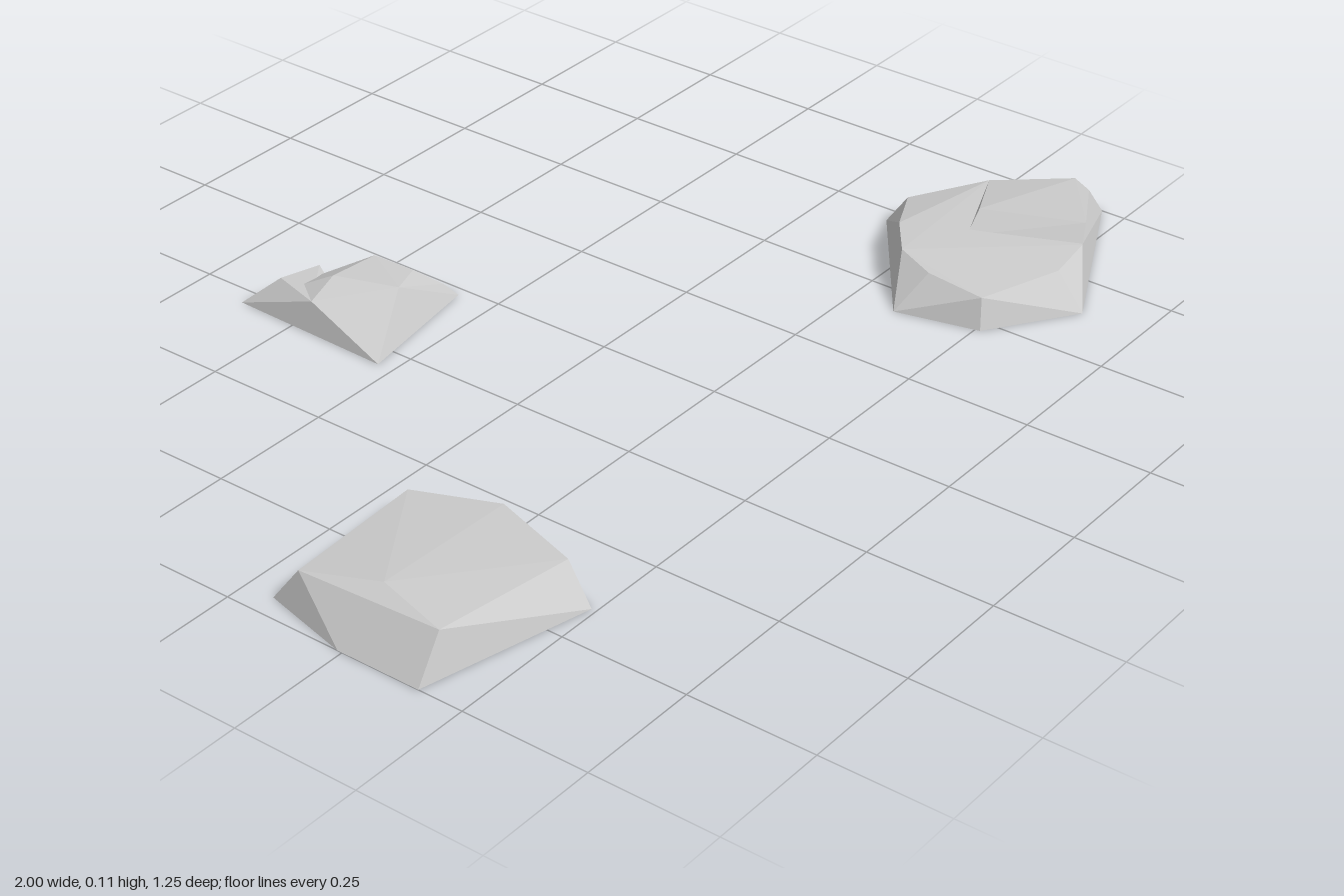
import * as THREE from 'three';
import { ConvexGeometry } from 'three/addons/geometries/ConvexGeometry.js';

const stone = new THREE.MeshStandardMaterial({ color: 0xcccccc, flatShading: true });

// A faceted stone: the convex shell around a ground outline [x, z] and upper corners [x, y, z].
function stonePart(name, outline, corners) {
  const points = [
    ...outline.map(([x, z]) => new THREE.Vector3(x, 0, z)),
    ...corners.map((corner) => new THREE.Vector3(...corner)),
  ];
  const mesh = new THREE.Mesh(new ConvexGeometry(points), stone);
  mesh.name = name;
  return mesh;
}

export function createModel() {
  const group = new THREE.Group();
  group.name = 'rocks';

  // Wide slab, sloping down to the left from a ridge on its right
  group.add(stonePart('slabRock',
    [[-0.955, 0.06], [-0.63, 0.05], [-0.575, 0.25], [-0.66, 0.49], [-1, 0.41], [-1, 0.24]],
    [[-0.945, 0.07, 0.11], [-0.645, 0.06, 0.085], [-0.585, 0.065, 0.245],
      [-0.645, 0.065, 0.43], [-0.94, 0.08, 0.405], [-0.905, 0.09, 0.26]]));

  // Low shelf with a raised plateau on its left half
  const steppedRock = new THREE.Group();
  steppedRock.name = 'steppedRock';
  steppedRock.add(
    stonePart('shelf',
      [[0.43, 0.345], [0.71, 0.14], [1, 0.45], [0.64, 0.625], [0.47, 0.51]],
      [[0.49, 0.068, 0.38], [0.52, 0.077, 0.3], [0.6, 0.078, 0.24], [0.72, 0.06, 0.18],
        [0.835, 0.085, 0.29], [0.96, 0.06, 0.44], [0.745, 0.075, 0.555],
        [0.645, 0.068, 0.565], [0.485, 0.06, 0.5]]),
    stonePart('plateau', [],
      [[0.65, 0.07, 0.36], [0.835, 0.085, 0.29], [0.96, 0.06, 0.44], [0.745, 0.07, 0.555],
        [0.69, 0.11, 0.36], [0.77, 0.108, 0.545], [0.92, 0.1, 0.43]]),
  );
  group.add(steppedRock);

  // Small rock with a low spur at the back right
  const smallRock = new THREE.Group();
  smallRock.name = 'smallRock';
  smallRock.add(
    stonePart('crown',
      [[-0.29, -0.63], [-0.035, -0.515], [-0.02, -0.33], [-0.3, -0.285]],
      [[-0.282, 0.06, -0.46], [-0.215, 0.083, -0.465], [-0.105, 0.078, -0.46],
        [-0.095, 0.072, -0.375], [-0.045, 0.03, -0.345], [-0.17, 0.08, -0.345], [-0.28, 0.015, -0.31]]),
    stonePart('spur', [[-0.29, -0.63], [-0.16, -0.57]],
      [[-0.25, 0.058, -0.565], [-0.16, 0.05, -0.55], [-0.282, 0.06, -0.46], [-0.2, 0.03, -0.47]]),
  );
  group.add(smallRock);

  return group;
}
